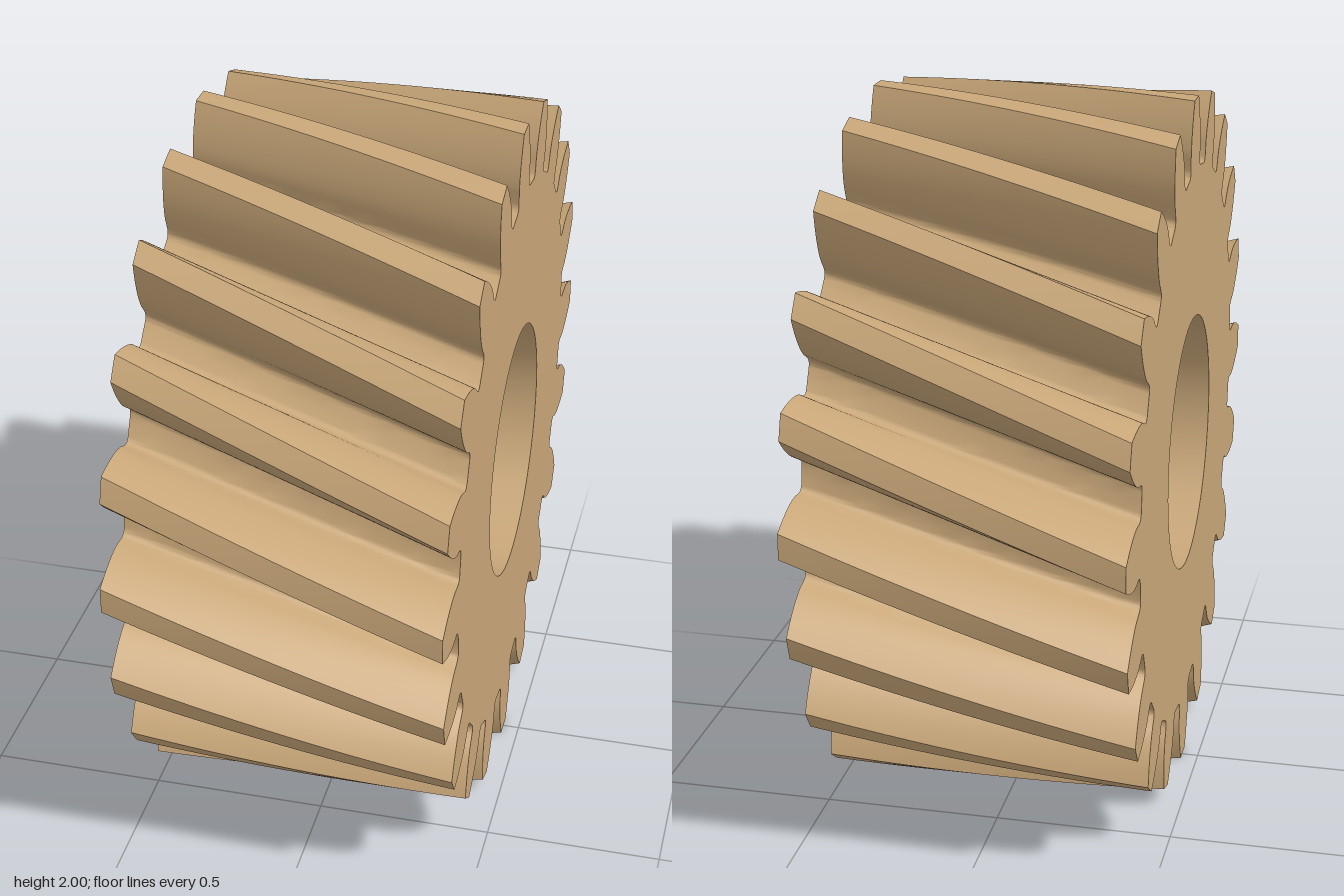
import * as THREE from 'three';
import { toCreasedNormals } from 'three/addons/utils/BufferGeometryUtils.js';

const TEETH = 20, WIDTH = 0.906, TWIST = THREE.MathUtils.degToRad(18.5);
const TIP_R = 1, BASE_R = 0.853, ROOT_R = 0.797, BORE_R = 0.365, FILLET = 0.022;
const BASE_HALF = 0.0957; // half tooth angle at the base circle

// One tooth flank as [radius, half angle], from the root up to the tip
function flankPoints() {
  const pts = [];
  for (let k = 0; k <= 5; k++) {
    const t = (k / 5) * Math.PI / 2;
    pts.push([ROOT_R + FILLET * (1 - Math.cos(t)), BASE_HALF + (FILLET / 0.82) * (1 - Math.sin(t))]);
  }
  // involute curve
  for (let k = 0; k <= 10; k++) {
    const r = BASE_R + (TIP_R - BASE_R) * k / 10;
    const a = Math.acos(BASE_R / r);
    pts.push([r, BASE_HALF - 0.95 * (Math.tan(a) - a)]);
  }
  return pts;
}

function gearShape() {
  const flank = flankPoints(), outline = [];
  const add = (r, a) => outline.push(new THREE.Vector2(r * Math.cos(a), r * Math.sin(a)));
  for (let i = 0; i < TEETH; i++) {
    const mid = Math.PI / 2 + (i / TEETH) * Math.PI * 2;
    flank.forEach(([r, h]) => add(r, mid - h));
    add(TIP_R, mid);
    [...flank].reverse().forEach(([r, h]) => add(r, mid + h));
    add(ROOT_R, mid + Math.PI / TEETH);
  }
  const shape = new THREE.Shape(outline);
  const bore = new THREE.Path();
  bore.absarc(0, 0, BORE_R, 0, Math.PI * 2, true);
  shape.holes.push(bore);
  return shape;
}

export function createModel() {
  const group = new THREE.Group();
  group.name = 'helicalGear';

  let geo = new THREE.ExtrudeGeometry(gearShape(), {
    depth: WIDTH, steps: 16, bevelEnabled: false, curveSegments: 72,
  });
  geo.translate(0, 0, -WIDTH / 2);

  // Twist each slice about the axis to make the teeth helical
  const p = geo.attributes.position, v = new THREE.Vector3(), axis = new THREE.Vector3(0, 0, 1);
  for (let i = 0; i < p.count; i++) {
    v.fromBufferAttribute(p, i);
    v.applyAxisAngle(axis, -TWIST * (0.5 - v.z / WIDTH));
    p.setXYZ(i, v.x, v.y, v.z);
  }
  geo = toCreasedNormals(geo, 0.5);
  geo.rotateY(Math.PI / 2); // axis along x
  geo.translate(0, 1, 0);

  const gear = new THREE.Mesh(geo, new THREE.MeshStandardMaterial({ color: 0xc8a678 }));
  gear.name = 'gearBody';
  group.add(gear);
  return group;
}
